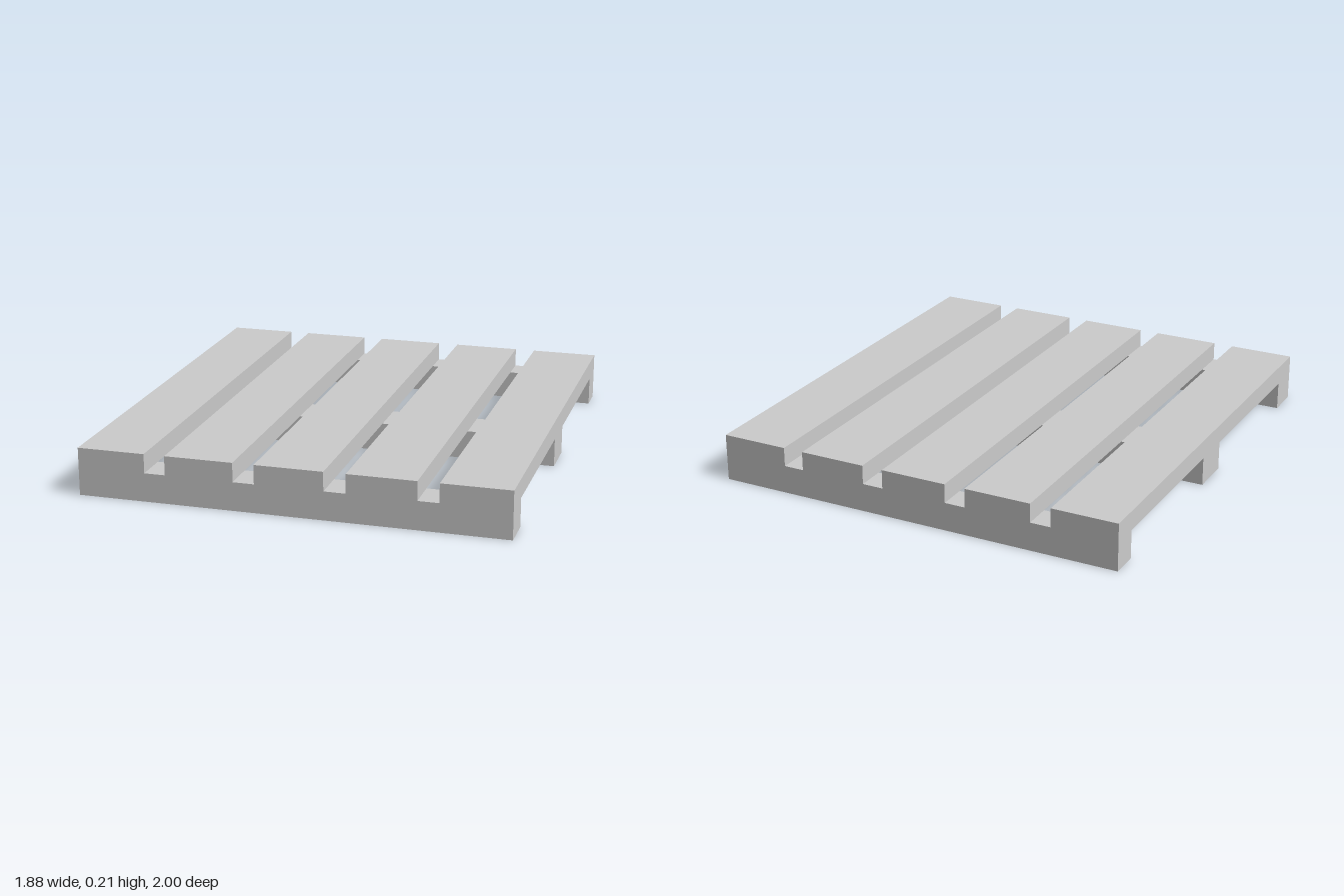
import * as THREE from 'three';

const RUNNER_TOP = 0.127;
const DECK_TOP = 0.212;

export function createModel() {
  const group = new THREE.Group();
  const material = new THREE.MeshStandardMaterial({ color: 0xcccccc, flatShading: true });

  // Box spanning the given [min, max] ranges
  const addBoard = (name, [x0, x1], [y0, y1], [z0, z1]) => {
    const mesh = new THREE.Mesh(new THREE.BoxGeometry(x1 - x0, y1 - y0, z1 - z0), material);
    mesh.position.set((x0 + x1) / 2, (y0 + y1) / 2, (z0 + z1) / 2);
    mesh.name = name;
    group.add(mesh);
  };

  // Five deck slats running front to back
  const slats = [[-0.938, -0.639], [-0.547, -0.246], [-0.153, 0.147], [0.242, 0.543], [0.635, 0.938]];
  slats.forEach((x, i) => addBoard(`deckSlat${i + 1}`, x, [RUNNER_TOP, DECK_TOP], [-1, 1]));

  // Three runners across the underside
  const runners = { frontRunner: [0.848, 1], middleRunner: [-0.107, 0.083], backRunner: [-1, -0.873] };
  for (const [name, z] of Object.entries(runners)) {
    addBoard(name, [-0.938, 0.938], [0, RUNNER_TOP], z);
  }

  return group;
}
